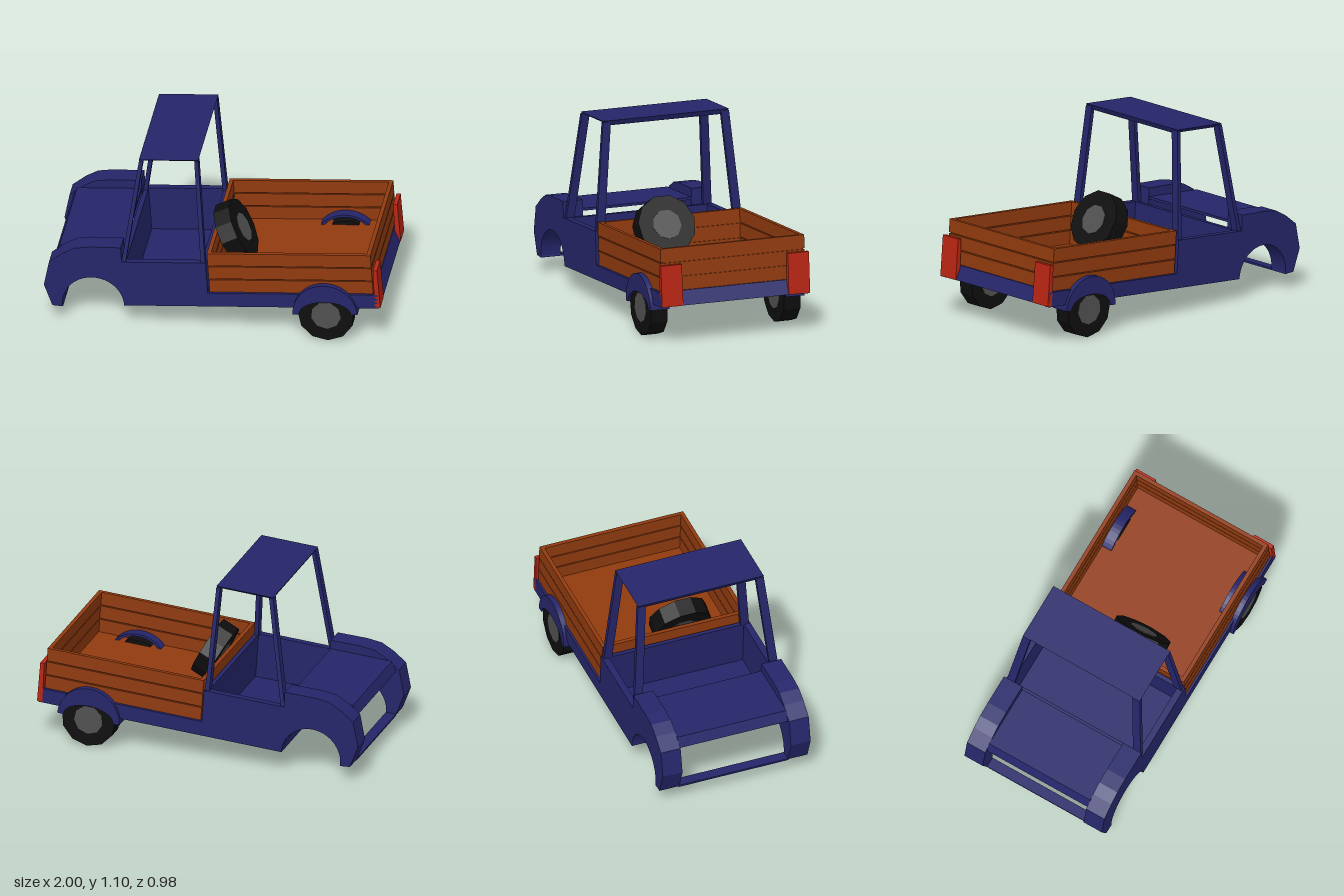
import * as THREE from 'three';

const mat = (name, color) => {
  const m = new THREE.MeshStandardMaterial({ color, flatShading: true });
  m.name = name;
  return m;
};

export function createModel() {
  const navy = mat('navy paint', 0x25256a);
  const wood = mat('brown wood', 0x903a0e);
  const red = mat('red lamp', 0xb82512);
  const black = mat('black rubber', 0x0e0e0e);
  const grey = mat('grey hub', 0x505050);

  const model = new THREE.Group();
  model.name = 'pickupTruck';
  // the whole truck pitches nose-down because the front wheels are missing
  const truck = new THREE.Group();
  truck.name = 'truck';
  truck.rotation.z = 0.07;
  model.add(truck);

  const add = (name, geo, material, parent = truck) => {
    const m = new THREE.Mesh(geo, material);
    m.name = name;
    parent.add(m);
    return m;
  };
  // box given by its limits on each axis
  const box = (name, material, x0, x1, y0, y1, z0, z1) => {
    const m = add(name, new THREE.BoxGeometry(x1 - x0, y1 - y0, z1 - z0), material);
    m.position.set((x0 + x1) / 2, (y0 + y1) / 2, (z0 + z1) / 2);
    return m;
  };
  // block whose bottom and top rectangles [x0, x1, y, z0, z1] differ
  const block = (name, material, bottom, top) => {
    const g = new THREE.BoxGeometry(1, 1, 1);
    const p = g.attributes.position;
    for (let i = 0; i < p.count; i++) {
      const r = p.getY(i) > 0 ? top : bottom;
      p.setXYZ(i, p.getX(i) > 0 ? r[1] : r[0], r[2], p.getZ(i) > 0 ? r[4] : r[3]);
    }
    g.computeVertexNormals();
    return add(name, g, material);
  };
  // side-view shape extruded between two z values
  const slab = (name, material, shape, z0, z1) => {
    const g = new THREE.ExtrudeGeometry(shape, { depth: z1 - z0, bevelEnabled: false, curveSegments: 12 });
    g.translate(0, 0, z0);
    return add(name, g, material);
  };
  // [near, far] limits mirrored to side s
  const zs = (s, a, b) => (s > 0 ? [a, b] : [-b, -a]);

  // front fender profile with wheel arch
  const fender = new THREE.Shape();
  [[-0.943, 0.162], [-0.984, 0.30], [-0.943, 0.453], [-0.858, 0.512], [-0.786, 0.547],
    [-0.695, 0.556], [-0.509, 0.553], [-0.513, 0.166]].forEach(([x, y], i) =>
    i ? fender.lineTo(x, y) : fender.moveTo(x, y));
  fender.absarc(-0.698, 0.168, 0.184, 0, Math.PI, false);
  fender.lineTo(-0.88, 0.155);

  // rear mudguard: outer plate and deep arch shell
  const CX = 0.683, CY = 0.13;
  const guardPlate = new THREE.Shape();
  guardPlate.absarc(CX, CY, 0.193, 0, Math.PI, false);
  guardPlate.lineTo(CX - 0.155, CY);
  guardPlate.absellipse(CX, CY, 0.155, 0.083, Math.PI, 0, true);
  const guardShell = new THREE.Shape();
  guardShell.absarc(CX, CY, 0.193, 0, Math.PI, false);
  guardShell.absarc(CX, CY, 0.178, Math.PI, 0, true);

  const wheel = (name, x, y, z, r, w) => {
    const g = new THREE.Group();
    g.name = name;
    g.position.set(x, y, z);
    add('tyre', new THREE.CylinderGeometry(r, r, w, 11).rotateX(Math.PI / 2), black, g);
    add('hub', new THREE.CylinderGeometry(0.09, 0.09, w + 0.006, 9).rotateX(Math.PI / 2), grey, g);
    truck.add(g);
    return g;
  };

  for (const s of [1, -1]) {
    const side = s > 0 ? 'Left' : 'Right';
    slab('frontFender' + side, navy, fender, ...zs(s, 0.345, 0.47));
    box('cabSide' + side, navy, -0.515, -0.01, 0.166, 0.457, ...zs(s, 0.43, 0.47));
    box('chassisRail' + side, navy, -0.01, 1.005, 0.166, 0.255, ...zs(s, 0.435, 0.47));
    slab('mudguardPlate' + side, navy, guardPlate, ...zs(s, 0.472, 0.49));
    slab('mudguardArch' + side, navy, guardShell, ...zs(s, 0.37, 0.473));
    wheel('rearWheel' + side, 0.686, 0.119, s * 0.4225, 0.168, 0.105);
    // roof pillars
    block('frontPillar' + side, navy, [-0.513, -0.488, 0.45, ...zs(s, 0.41, 0.462)],
      [-0.372, -0.347, 1.10, ...zs(s, 0.35, 0.4)]);
    block('rearPillar' + side, navy, [-0.04, -0.014, 0.45, ...zs(s, 0.41, 0.462)],
      [-0.042, -0.018, 1.10, ...zs(s, 0.35, 0.4)]);
    block('tailLamp' + side, red, [0.98, 1.013, 0.17, ...zs(s, 0.335, 0.47)],
      [0.985, 1.01, 0.417, ...zs(s, 0.337, 0.47)]);
  }

  // hood, front lip and lower crossbar
  box('hood', navy, -0.88, -0.512, 0.485, 0.5, -0.346, 0.346);
  block('hoodLip', navy, [-0.925, -0.91, 0.44, -0.35, 0.35], [-0.895, -0.875, 0.5, -0.346, 0.346]);
  box('frontCrossbar', navy, -0.943, -0.88, 0.155, 0.167, -0.35, 0.35);

  // cab tub and roof
  box('cabFloor', navy, -0.515, -0.01, 0.166, 0.182, -0.435, 0.435);
  box('cabFrontWall', navy, -0.515, -0.485, 0.17, 0.455, -0.435, 0.435);
  box('cabBackWall', navy, -0.035, -0.01, 0.17, 0.455, -0.435, 0.435);
  block('roof', navy, [-0.355, -0.035, 1.077, -0.35, 0.35], [-0.372, -0.018, 1.108, -0.4, 0.4]);

  // sloped rear panel
  block('rearPanel', navy, [0.95, 1.01, 0.17, -0.44, 0.44], [0.95, 0.978, 0.255, -0.44, 0.44]);

  // cargo bed: floor, thin liners and three rows of planks
  const B0 = 0.0, B1 = 0.975, BZ = 0.457, T = 0.024;
  box('bedFloor', wood, B0, B1 - 0.01, 0.232, 0.258, -0.44, 0.44);
  for (const s of [1, -1]) box('sideLiner', wood, B0 + 0.008, B1 - 0.008, 0.255, 0.51, ...zs(s, BZ - 0.016, BZ - 0.008));
  box('frontLiner', wood, B0 + 0.008, B0 + 0.016, 0.255, 0.51, -0.44, 0.44);
  box('rearLiner', wood, B1 - 0.016, B1 - 0.008, 0.255, 0.51, -0.44, 0.44);
  for (let i = 0; i < 3; i++) {
    const y0 = 0.257 + i * 0.0875, y1 = y0 + 0.081;
    for (const s of [1, -1]) box('sidePlank', wood, B0, B1, y0, y1, ...zs(s, BZ - T, BZ));
    box('frontPlank', wood, B0, B0 + T, y0, y1, -BZ + T, BZ - T);
    box('tailPlank', wood, B1 - T, B1, y0, y1, -BZ + T, BZ - T);
  }

  // spare wheel leaning against the cab
  const spare = wheel('spareWheel', 0.116, 0.47, 0.085, 0.18, 0.105);
  spare.rotation.set(0, Math.PI / 2, 0.42, 'ZYX');

  return model;
}
